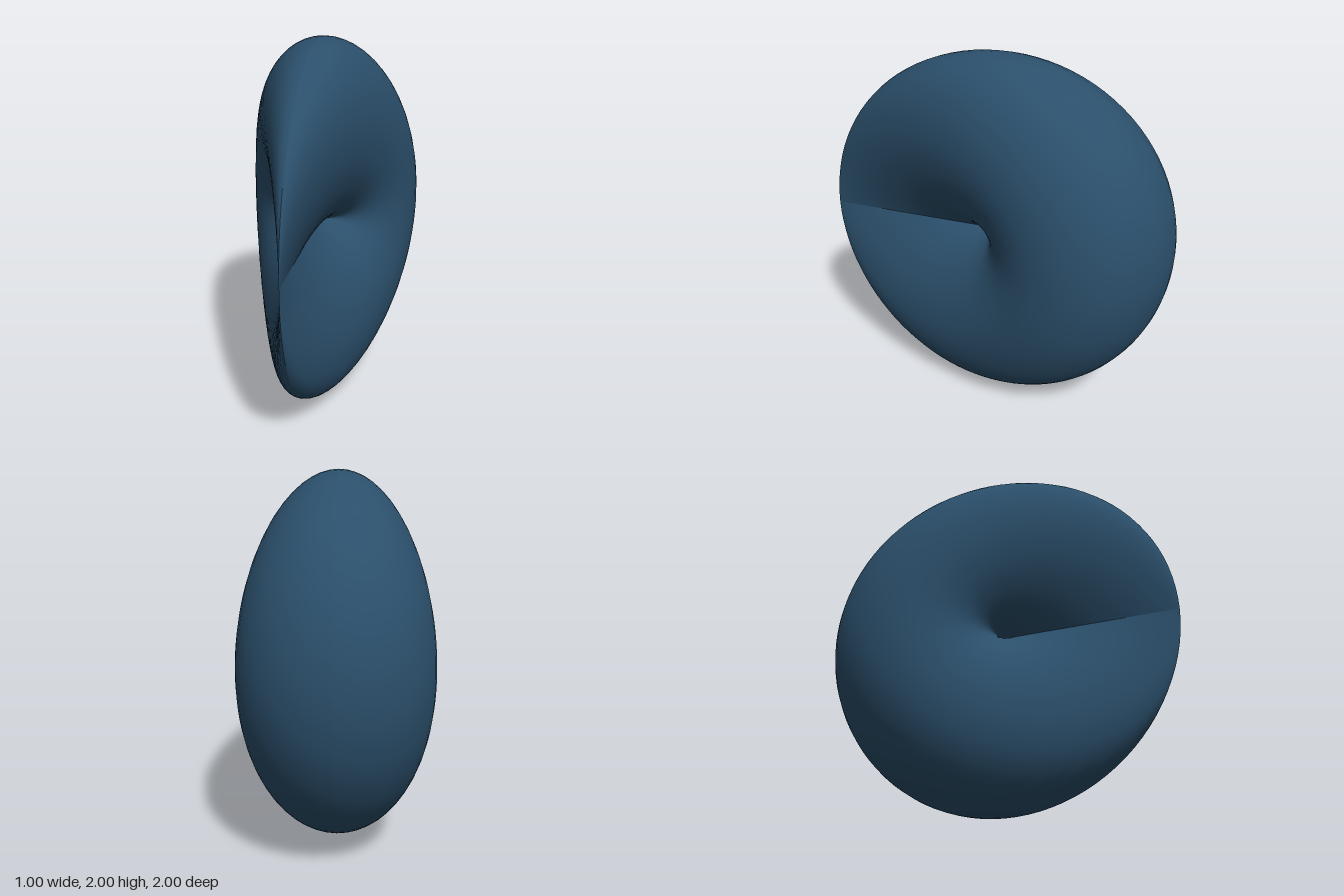
import * as THREE from 'three';

export function createModel() {
  const group = new THREE.Group();

  // Horn torus whose tube flattens to a pinched crease at the front (+z)
  const geometry = new THREE.TorusGeometry(0.5, 0.5, 48, 96);
  const pos = geometry.attributes.position;
  for (let i = 0; i < pos.count; i++) {
    const angle = geometry.attributes.uv.getX(i) * Math.PI * 2;
    pos.setZ(i, pos.getZ(i) * Math.sin(angle / 2));
  }
  geometry.rotateY(-Math.PI / 2);
  geometry.translate(0, 1, 0);
  geometry.computeVertexNormals();

  const pinchedTorus = new THREE.Mesh(
    geometry,
    new THREE.MeshStandardMaterial({ color: 0x2b4f6b, side: THREE.DoubleSide })
  );
  pinchedTorus.name = 'pinchedTorus';
  group.add(pinchedTorus);
  return group;
}
